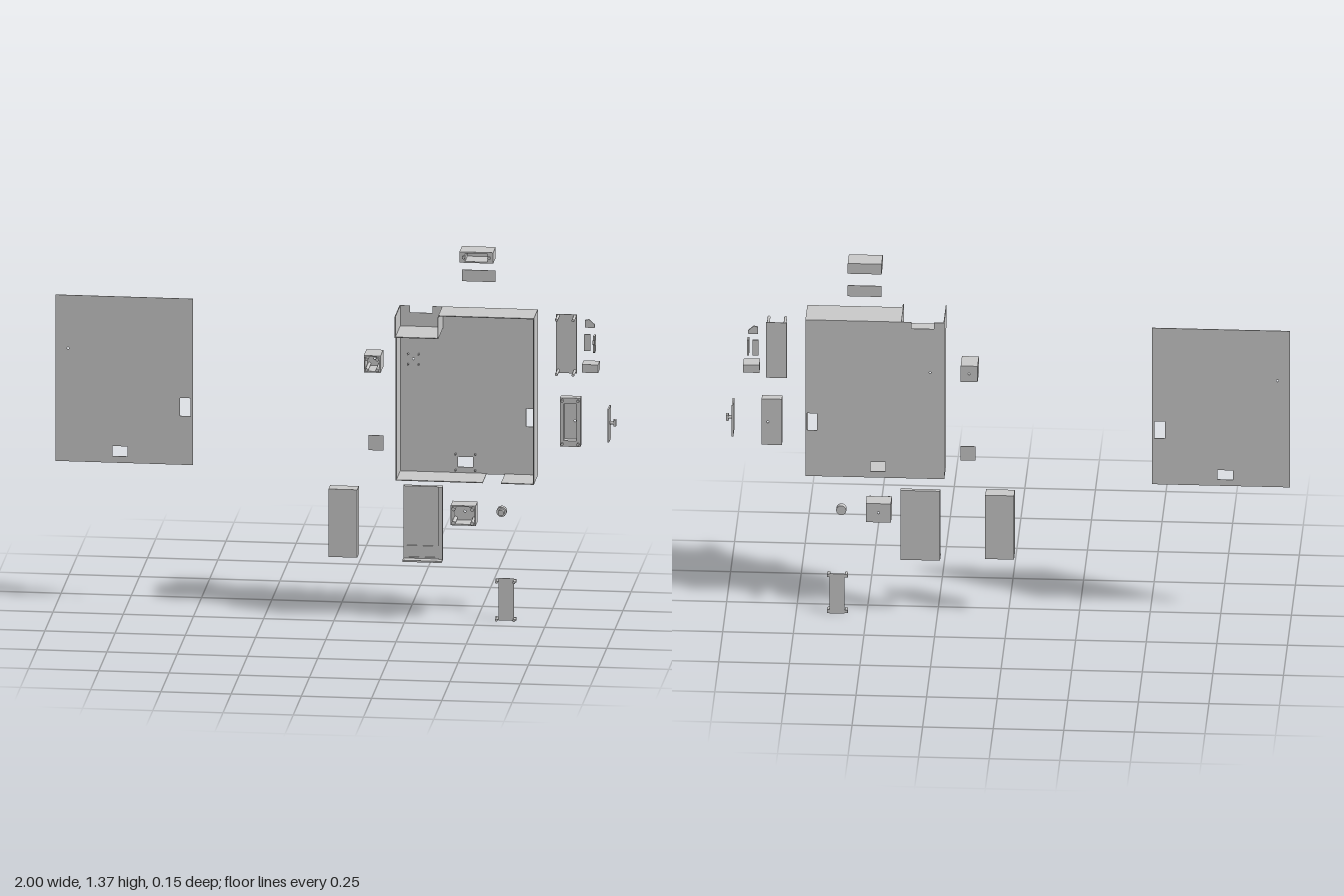
import * as THREE from 'three';

const BACK = -0.076;   // every part lies on this plane
const T = 0.003;       // sheet thickness

export function createModel() {
  const root = new THREE.Group();
  const mat = new THREE.MeshStandardMaterial({ color: 0xcccccc, side: THREE.DoubleSide, flatShading: true });
  const smooth = new THREE.MeshStandardMaterial({ color: 0xcccccc });

  const group = (name) => {
    const g = new THREE.Group();
    g.name = name;
    root.add(g);
    return g;
  };
  const add = (parent, name, geo, m = mat) => {
    const mesh = new THREE.Mesh(geo, m);
    mesh.name = name;
    parent.add(mesh);
    return mesh;
  };
  // box given by its limits
  const box = (parent, name, x0, x1, y0, y1, z0, z1) =>
    add(parent, name, new THREE.BoxGeometry(x1 - x0, y1 - y0, z1 - z0))
      .position.set((x0 + x1) / 2, (y0 + y1) / 2, (z0 + z1) / 2);
  // round post along z
  const post = (parent, name, x, y, z0, z1, r) => {
    const m = add(parent, name, new THREE.CylinderGeometry(r, r, z1 - z0, 16), smooth);
    m.rotation.x = Math.PI / 2;
    m.position.set(x, y, (z0 + z1) / 2);
  };
  const corners = (parent, name, x0, x1, y0, y1, z0, z1, r) => {
    for (const x of [x0, x1]) for (const y of [y0, y1]) post(parent, name, x, y, z0, z1, r);
  };
  // sheet cut from an outline, with rectangular [x0,x1,y0,y1] and round [x,y,r] holes
  const sheet = (parent, name, pts, holes, z0, z1) => {
    const shape = new THREE.Shape(pts.map(([x, y]) => new THREE.Vector2(x, y)));
    for (const h of holes) {
      const p = new THREE.Path();
      if (h.length === 3) p.absarc(h[0], h[1], h[2], 0, Math.PI * 2, true);
      else p.setFromPoints(rect(...h).reverse().map(([x, y]) => new THREE.Vector2(x, y)));
      shape.holes.push(p);
    }
    const geo = new THREE.ExtrudeGeometry(shape, { depth: z1 - z0, bevelEnabled: false, curveSegments: 8 });
    return add(parent, name, geo.translate(0, 0, z0));
  };
  const rect = (x0, x1, y0, y1) => [[x0, y0], [x1, y0], [x1, y1], [x0, y1]];
  // open-fronted case: wall frame plus a back with a centre hole
  const openCase = (parent, x0, x1, y0, y1, z1, wx, wy, hole) => {
    sheet(parent, 'caseWalls', rect(x0, x1, y0, y1), [[x0 + wx, x1 - wx, y0 + wy, y1 - wy]], BACK, z1);
    sheet(parent, 'caseBack', rect(x0 + wx, x1 - wx, y0 + wy, y1 - wy), hole ? [hole] : [], BACK, BACK + 0.005);
  };

  // Flat lid
  const lid = group('lid');
  sheet(lid, 'lidPanel', rect(-1, -0.51, 0.535, 1.145),
    [[-0.556, -0.519, 0.714, 0.78], [-0.797, -0.743, 0.559, 0.596], [-0.955, 0.95, 0.004]], BACK, BACK + T);

  // Main housing, open at the front
  const body = group('housing');
  const L = 0.225, R = 0.717, D = 0.535, U = 1.145, F = 0.047, F2 = 0.076, S = 0.38, SH = 1.067;
  sheet(body, 'backPanel',
    [[L, D], [R, D], [R, U], [0.342, U], [0.342, 1.12], [0.262, 1.12], [0.262, U], [L, U]],
    [[0.676, 0.711, 0.714, 0.78], [0.433, 0.487, 0.559, 0.596], [0.275, 0.95, 0.004]], BACK, BACK + T);
  box(body, 'leftWall', L, L + T, D, U, BACK, F);
  box(body, 'rightWall', R - T, R, D, U, BACK, F);
  box(body, 'topWall', S, R, U - T, U, BACK, F);
  box(body, 'bottomWall', L, 0.535, D, D + T, BACK, F);
  box(body, 'bottomWall', 0.6, R, D, D + T, BACK, F);
  // corner compartment
  box(body, 'compartmentSide', L, L + T, SH, U, F, F2);
  box(body, 'compartmentSide', S - T, S, SH, U, BACK, F2);
  box(body, 'compartmentShelf', L, S, SH, SH + T, BACK, F2);
  // locating pins
  corners(body, 'locatingPin', 0.256, 0.294, 0.931, 0.969, BACK, -0.06, 0.003);
  corners(body, 'locatingPin', 0.425, 0.495, 0.548, 0.607, BACK, -0.06, 0.003);

  // Square button case with its cover
  const square = group('squareCase');
  openCase(square, 0.107, 0.167, 0.917, 0.979, 0.006, 0.005, 0.005, [0.137, 0.948, 0.004]);
  corners(square, 'casePost', 0.118, 0.156, 0.928, 0.968, BACK, 0.017, 0.006);
  box(group('squareCover'), 'coverPlate', 0.115, 0.168, 0.61, 0.665, BACK, BACK + T);

  // Socket case
  const socket = group('socketCase');
  openCase(socket, 0.414, 0.503, 0.36, 0.433, -0.015, 0.005, 0.005, [0.458, 0.397, 0.004]);
  corners(socket, 'casePost', 0.425, 0.492, 0.371, 0.422, BACK, -0.002, 0.007);

  // Wide case with its cover
  const wide = group('wideCase');
  openCase(wide, 0.447, 0.567, 1.329, 1.369, 0, 0.02, 0.005);
  for (const x of [0.462, 0.552]) post(wide, 'casePost', x, 1.349, BACK, 0.006, 0.006);
  box(group('wideCover'), 'coverPlate', 0.447, 0.567, 1.241, 1.283, BACK, BACK + T);

  // Tall bracket with four long posts
  const tall = group('tallBracket');
  box(tall, 'bracketPlate', 0.783, 0.856, 0.915, 1.131, BACK, BACK + T);
  corners(tall, 'bracketPost', 0.79, 0.849, 0.924, 1.124, BACK, -0.015, 0.005);

  // Small loose fittings
  const bits = group('smallFittings');
  sheet(bits, 'wedge', [[0.885, 1.085], [0.92, 1.085], [0.92, 1.097], [0.9, 1.115], [0.885, 1.112]], [], BACK, BACK + 0.006);
  box(bits, 'strip', 0.883, 0.905, 1, 1.06, BACK, -0.07);
  // side-on latch: profile drawn in z and y, extruded along x
  const latch = sheet(bits, 'latch',
    [[0.075, 1], [0.075, 1.06], [0.048, 1.06], [0.048, 1.045], [0.03, 1.05], [0.03, 1.035],
      [0.04, 1.03], [0.04, 1.005], [0.045, 1]], [], 0, 0.007);
  latch.rotation.y = Math.PI / 2;
  latch.position.x = 0.917;
  box(bits, 'block', 0.88, 0.938, 0.933, 0.963, BACK, -0.022);

  // Shallow tray case
  const tray = group('trayCase');
  openCase(tray, 0.8, 0.872, 0.653, 0.832, -0.045, 0.013, 0.022, [0.85, 0.742, 0.004]);
  corners(tray, 'trayPost', 0.808, 0.864, 0.663, 0.822, BACK, -0.036, 0.005);

  // Upright switch plate with a knob pointing to the side
  const sw = group('switchPlate');
  box(sw, 'uprightPlate', 0.972, 0.978, 0.682, 0.803, BACK, -0.015);
  const stem = add(sw, 'knobStem', new THREE.CylinderGeometry(0.006, 0.006, 0.015, 16), smooth);
  stem.rotation.z = Math.PI / 2;
  stem.position.set(0.985, 0.745, -0.048);
  box(sw, 'knobCap', 0.99, 1, 0.734, 0.757, -0.057, -0.04);

  // Plain battery block
  box(group('batteryBlock'), 'block', -0.022, 0.08, 0.227, 0.476, BACK, -0.026);

  // Sliding cover with side rail, bottom lip and a raised frame
  const slide = group('slidingCover');
  box(slide, 'coverSlab', 0.24, 0.38, 0.216, 0.487, BACK, -0.06);
  box(slide, 'sideRail', 0.366, 0.38, 0.216, 0.487, -0.06, -0.054);
  box(slide, 'bottomLip', 0.24, 0.38, 0.216, 0.222, BACK, -0.03);
  sheet(slide, 'raisedFrame', rect(0.25, 0.366, 0.224, 0.27), [[0.254, 0.362, 0.228, 0.266]], -0.06, -0.056);

  // Round knob
  const knob = group('roundKnob');
  post(knob, 'knobBase', 0.59, 0.403, BACK, -0.055, 0.018);
  post(knob, 'knobTip', 0.59, 0.403, -0.055, -0.04, 0.011);

  // Short bracket with ears and four posts
  const short = group('shortBracket');
  box(short, 'bracketPlate', 0.578, 0.632, 0, 0.155, BACK, BACK + T);
  for (const y of [0.002, 0.141]) box(short, 'bracketEar', 0.567, 0.641, y, y + 0.012, BACK, BACK + T);
  corners(short, 'bracketPost', 0.573, 0.635, 0.008, 0.147, BACK, -0.047, 0.005);

  return root;
}
